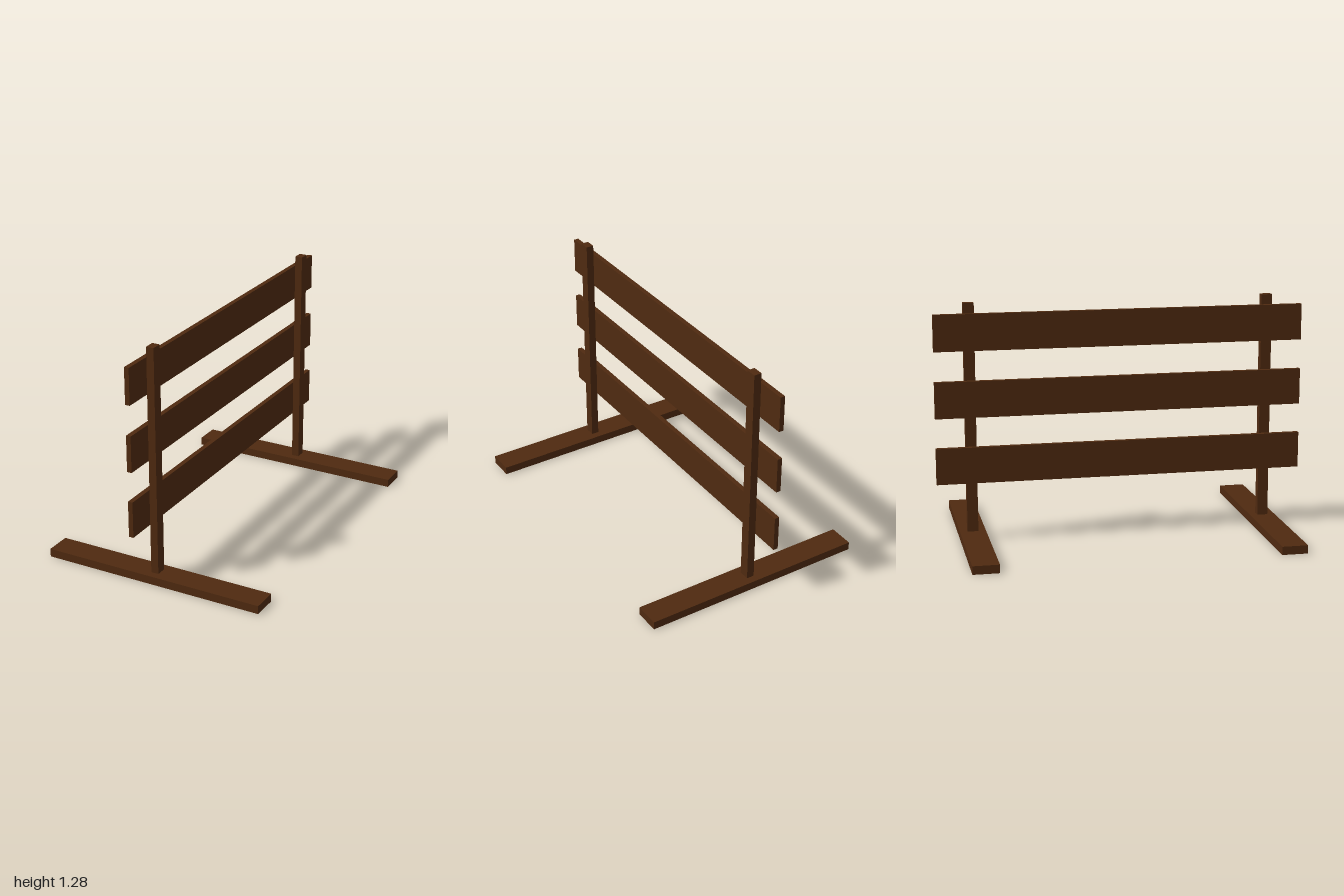
import * as THREE from 'three';

const wood = new THREE.MeshStandardMaterial({ color: 0x4f2a10, flatShading: true });

// Box given by its lower and upper limits on each axis
function board(name, [x0, x1], [y0, y1], [z0, z1]) {
  const mesh = new THREE.Mesh(new THREE.BoxGeometry(x1 - x0, y1 - y0, z1 - z0), wood);
  mesh.position.set((x0 + x1) / 2, (y0 + y1) / 2, (z0 + z1) / 2);
  mesh.name = name;
  return mesh;
}

export function createModel() {
  const model = new THREE.Group();
  model.name = 'fence';

  // A foot and an upright post at each end
  for (const [end, z] of [['front', 0.81], ['back', -0.81]]) {
    model.add(board(end + 'Foot', [-0.62, 0.62], [0, 0.045], [z - 0.07, z + 0.07]));
    model.add(board(end + 'Post', [-0.021, 0.021], [0.045, 1.285], [z - 0.029, z + 0.029]));
  }

  // Three planks fixed to the -x side of the posts
  ['lower', 'middle', 'upper'].forEach((level, i) => {
    const y = 0.417 + i * 0.358;
    model.add(board(level + 'Plank', [-0.047, -0.021], [y - 0.098, y + 0.098], [-1, 1]));
  });

  return model;
}
